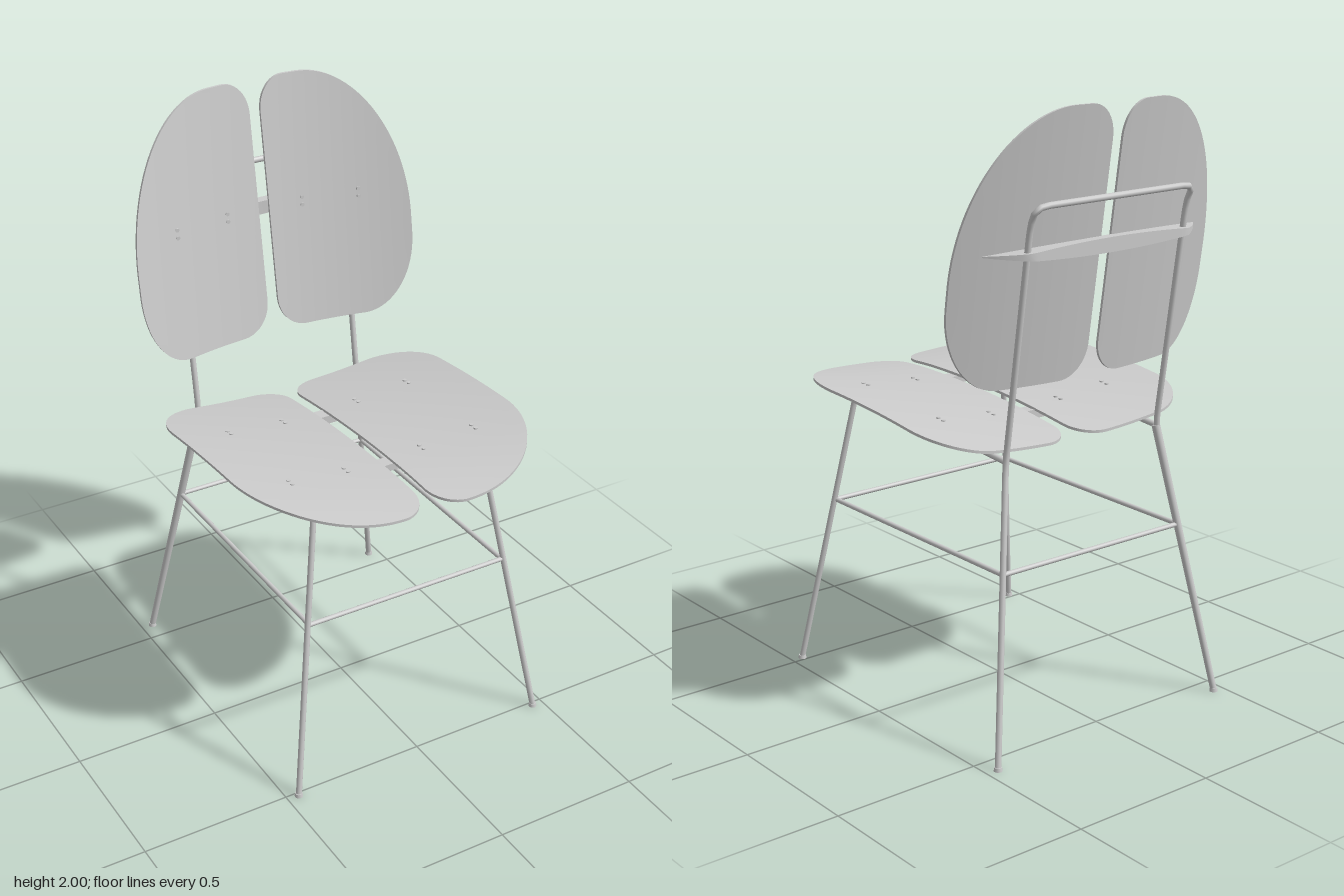
import * as THREE from 'three';
import { toCreasedNormals } from 'three/addons/utils/BufferGeometryUtils.js';

const V = (x, y, z) => new THREE.Vector3(x, y, z);
const material = new THREE.MeshStandardMaterial({ color: 0xcccccc, side: THREE.DoubleSide });
const THICK = 0.009;
const ROD = 0.01;

function add(group, name, geometry) {
  const mesh = new THREE.Mesh(geometry, material);
  mesh.name = name;
  group.add(mesh);
  return mesh;
}

// Skin closed rings of equal length, with a cap at both ends.
function loft(rings, flip = false) {
  const m = rings[0].length, last = (rings.length - 1) * m, index = [];
  const quad = (a, b, c, d) => index.push(...(flip ? [a, d, b, b, d, c] : [a, b, d, b, c, d]));
  for (let i = 0; i < rings.length - 1; i++) {
    for (let j = 0; j < m; j++) {
      const k = (j + 1) % m;
      quad(i * m + j, (i + 1) * m + j, (i + 1) * m + k, i * m + k);
    }
  }
  for (let j = 0; j < m / 2 - 1; j++) {
    quad(j, j + 1, m - 2 - j, m - 1 - j);
    quad(last + j, last + m - 1 - j, last + m - 2 - j, last + j + 1);
  }
  const geometry = new THREE.BufferGeometry().setFromPoints(rings.flat());
  geometry.setIndex(index);
  return toCreasedNormals(geometry, 0.7);
}

// Rod through points, with rounded corners.
function rod(points, radius = ROD, bend = 0.05) {
  const path = new THREE.CurvePath();
  let from = points[0];
  for (let i = 1; i < points.length - 1; i++) {
    const p = points[i];
    const toward = q => p.clone().add(q.clone().sub(p).setLength(Math.min(bend, p.distanceTo(q) * 0.45)));
    const a = toward(points[i - 1]), b = toward(points[i + 1]);
    path.add(new THREE.LineCurve3(from, a));
    path.add(new THREE.QuadraticBezierCurve3(a, p, b));
    from = b;
  }
  path.add(new THREE.LineCurve3(from, points[points.length - 1]));
  return new THREE.TubeGeometry(path, points.length > 2 ? 140 : 1, radius, 10);
}

// Curved surfaces of the seat and the backrest.
const seatY = (x, z) => 0.998 - (z > 0.35 ? 0.24 : 0.11) * (z - 0.35) ** 2 + 0.045 * (x / 0.51) ** 2;
const backZ = (x, y) => -0.575 + (2 - y) * 0.152 + 0.09 * (x / 0.51) ** 2;
const railY = z => 0.92 + (z + 0.42) * 0.075;

// Half panel: rounded outline from v = lo to hi; corners are [width, length].
function panel(lo, hi, corners, side, map) {
  const rows = 48, cols = 14, rings = [];
  const inset = (v, end, [a, b]) => {
    const t = Math.max(0, 1 - Math.abs(v - end) / b);
    return a * (1 - Math.sqrt(Math.max(0, 1 - t * t)));
  };
  for (let i = 0; i <= rows; i++) {
    const v = lo + (hi - lo) * (1 - Math.cos(Math.PI * i / rows)) / 2;
    const x0 = 0.02 + inset(v, lo, corners.innerLo) + inset(v, hi, corners.innerHi);
    const x1 = 0.512 - inset(v, lo, corners.outerLo) - inset(v, hi, corners.outerHi);
    const face = [], under = [];
    for (let j = 0; j <= cols; j++) {
      const x = x0 + (x1 - x0) * j / cols;
      face.push(map(side * x, v, 0));
      under.unshift(map(side * x, v, THICK));
    }
    rings.push([...face, ...under]);
  }
  return loft(rings, side < 0);
}

// Bracket tapering to points: one edge follows the panel, the other is flat.
function bracket(near, far, map) {
  const reach = 0.42, rings = [];
  for (let i = 0; i <= 40; i++) {
    const x = reach * (i / 20 - 1), u = Math.abs(x);
    const w = 0.002 + 0.021 * (1 - (u / reach) ** 2);
    const top = near(x), k = Math.max(0, (u - 0.31) / (reach - 0.31));
    const bottom = far + (top - 0.003 - far) * k;
    rings.push([map(x, -w, top), map(x, w, top), map(x, w, bottom), map(x, -w, bottom)]);
  }
  return loft(rings);
}

export function createModel() {
  const model = new THREE.Group();

  // Seat and backrest halves
  for (const side of [1, -1]) {
    const label = side > 0 ? 'left' : 'right';
    add(model, label + 'SeatPanel', panel(-0.4, 0.585, {
      innerLo: [0.1, 0.1], innerHi: [0.1, 0.11], outerLo: [0.18, 0.2], outerHi: [0.37, 0.385],
    }, side, (x, z, d) => V(x, seatY(x, z) - d, z)));
    add(model, label + 'BackPanel', panel(1.145, 2, {
      innerLo: [0.1, 0.11], innerHi: [0.09, 0.11], outerLo: [0.18, 0.27], outerHi: [0.35, 0.52],
    }, side, (x, y, d) => V(x, y, backZ(x, y) + d)));
  }

  // Brackets joining the halves
  const seatRows = [0.27, -0.135], backRow = 1.57;
  for (const z of seatRows) {
    add(model, 'seatBracket', bracket(x => seatY(x, z) - THICK, railY(z) - 0.008, (x, w, h) => V(x, h, z - w)));
  }
  add(model, 'backBracket', bracket(x => backZ(x, backRow), -0.545, (x, w, h) => V(x, backRow + w, h)));

  // Bolt heads in pairs
  const bolts = new THREE.Group();
  bolts.name = 'bolts';
  model.add(bolts);
  const head = new THREE.CylinderGeometry(0.007, 0.007, 0.006, 10);
  for (const x of [-0.34, -0.14, 0.14, 0.34]) {
    for (const offset of [-0.013, 0.013]) {
      for (const row of seatRows) {
        const z = row + offset;
        add(bolts, 'seatBolt', head).position.set(x, seatY(x, z) + 0.001, z);
      }
      const bolt = add(bolts, 'backBolt', head);
      bolt.position.set(x, backRow + offset, backZ(x, backRow + offset) + THICK + 0.001);
      bolt.rotation.x = Math.PI / 2;
    }
  }

  // Rear legs, uprights and top bar as one bent rod
  const rear = s => [V(0.46 * s, 0.005, -0.57), V(0.31 * s, 0.92, -0.42), V(0.31 * s, 1.67, -0.533), V(0.31 * s, 1.72, -0.562)];
  add(model, 'rearFrame', rod([...rear(1), ...rear(-1).reverse()]));

  // Thicker right rear leg
  const [foot, knee] = rear(-1);
  const sleeve = add(model, 'rearLegSleeve', new THREE.CylinderGeometry(0.014, 0.011, foot.distanceTo(knee), 12));
  sleeve.position.copy(foot).lerp(knee, 0.5);
  sleeve.quaternion.setFromUnitVectors(V(0, 1, 0), knee.clone().sub(foot).normalize());

  // Front legs bent into the seat rails, side stretchers and feet
  for (const s of [1, -1]) {
    add(model, 'frontLegAndRail', rod([V(0.46 * s, 0.005, 0.515), V(0.31 * s, railY(0.365), 0.365), V(0.31 * s, 0.92, -0.42)], ROD, 0.06));
    add(model, 'sideStretcher', rod([V(0.365 * s, 0.585, 0.425), V(0.365 * s, 0.585, -0.475)], 0.008));
    for (const z of [0.515, -0.57]) {
      add(model, 'foot', new THREE.CylinderGeometry(0.012, 0.014, 0.012, 12)).position.set(0.46 * s, 0.006, z);
    }
  }

  // Front and rear stretchers
  for (const z of [0.425, -0.475]) {
    add(model, 'crossStretcher', rod([V(-0.365, 0.585, z), V(0.365, 0.585, z)], 0.008));
  }
  return model;
}
